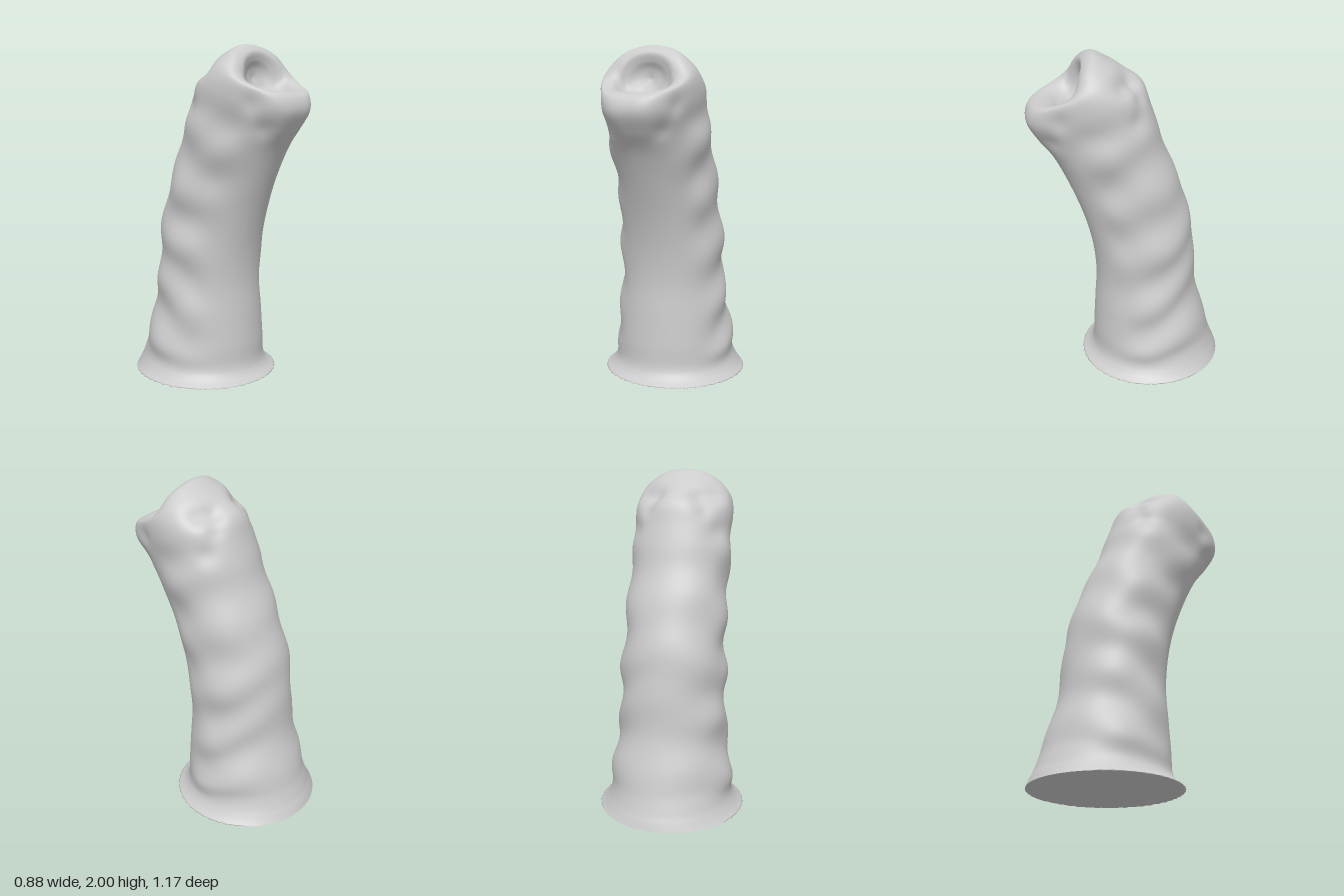
import * as THREE from 'three';

const { smoothstep } = THREE.MathUtils;
const SEG = 96, RINGS = 170;

// Tilted rings: [front z, front y, back z, back y, half width, taper to the front]
const rows = [
  [.30, 0, -.585, 0, .44, 0],
  [.25, .04, -.57, .04, .40, 0],
  [.225, .1, -.545, .1, .372, 0],
  [.22, .22, -.51, .22, .364, 0],
  [.21, .4, -.455, .4, .335, 0],
  [.2, .6, -.415, .62, .318, 0],
  [.22, .8, -.4, .84, .312, 0],
  [.27, 1, -.355, 1.07, .302, .05],
  [.345, 1.2, -.27, 1.3, .293, .1],
  [.44, 1.4, -.185, 1.52, .29, .15],
  [.53, 1.525, -.125, 1.7, .282, .2],
  [.585, 1.625, -.075, 1.83, .285, .22],
  [.575, 1.7, .03, 1.91, .272, .2],
  [.53, 1.735, .12, 1.965, .245, .15],
  [.46, 1.74, .2, 2, .2, .1],
  [.39, 1.72, .265, 1.965, .16, .05],
  [.33, 1.715, .265, 1.915, .125, 0],
  [.275, 1.74, .245, 1.87, .075, 0],
  [.235, 1.81, .235, 1.815, 0, 0],
];
const LAST = rows.length - 1;

// Smooth curves through pairs of columns of the table
const [frontLine, backLine, sizeLine] = [0, 2, 4].map(k =>
  new THREE.SplineCurve(rows.map(r => new THREE.Vector2(r[k], r[k + 1]))));

// Soft hollows, mirrored in x: [x, y, z, radius, depth]
const hollows = [
  [.14, 1.88, -.01, .065, .04],
  [.18, 1.79, -.05, .06, .022],
  [.2, 1.85, .07, .065, .028],
  [.24, 1.66, -.02, .06, .014],
  [.21, 1.68, .42, .06, .02],
  [.17, 1.53, .47, .06, .014],
];
const core = new THREE.Vector3(0, 1.58, .2);

function surfacePoint(t, i) {
  const f = frontLine.getPoint(t), b = backLine.getPoint(t), s = sizeLine.getPoint(t);
  const a = i / SEG * Math.PI * 2, c = Math.cos(a), sn = Math.sin(a);
  const v = (1 - c) / 2, row = t * LAST;

  // Ring outline, squarer at the lip
  const square = 1 - .35 * smoothstep(-c, 0, .7) * smoothstep(row, 8, 11);
  const x = s.x * Math.sign(sn) * Math.abs(sn) ** square * (1 + s.y * c);
  const p = new THREE.Vector3(x, b.y + (f.y - b.y) * v, b.x + (f.x - b.x) * v);

  // The sides of the rim sag between the peak and the lip
  const sag = smoothstep(row, 11.5, 14) * (1 - smoothstep(row, 15, 17)) * sn * sn * smoothstep(-c, -.6, .4);
  p.y -= .04 * sag;
  p.z -= .015 * sag;

  // Slanting skin folds, strongest on the sides and fading out on the front
  const mask = smoothstep(c, -.95, -.35) * (.35 + .65 * sn * sn)
    * smoothstep(p.y, .06, .2) * (1 - smoothstep(p.y, 1.5, 1.72)) * (1 - smoothstep(row, 11, 13));
  const wave = Math.cos((p.y - .2 - .15 * c + .02 * Math.sin(3 * a + p.y * 5)) / .32 * Math.PI * 2);
  const d = mask * (.012 * wave + .004 * Math.sin(p.y * 13 + c * 4 + sn * 2));
  p.x += d * sn;
  p.z -= d * c;

  // Hollows around the head and the lower lip
  const outer = 1 - smoothstep(row, 13, 14.5);
  for (const [hx, hy, hz, r, depth] of hollows) {
    const q = (Math.abs(p.x) - hx) ** 2 + (p.y - hy) ** 2 + (p.z - hz) ** 2;
    p.addScaledVector(core.clone().sub(p).normalize(), outer * depth * Math.exp(-q / (r * r)));
  }

  // Ragged hem at the foot
  if (t === 0) {
    const k = i % 2 && c < .5 ? .97 : 1;
    p.set(p.x * k, 0, -.14 + (p.z + .14) * k);
  }
  return p;
}

function geometry(positions, index) {
  const g = new THREE.BufferGeometry();
  g.setAttribute('position', new THREE.Float32BufferAttribute(positions, 3));
  g.setIndex(index);
  g.computeVertexNormals();
  return g;
}

export function createModel() {
  const group = new THREE.Group();
  const material = new THREE.MeshStandardMaterial({ color: 0xcccccc });

  // Bent trunk, running over the rim and into the opening
  const pos = [], idx = [];
  for (let j = 0; j <= RINGS; j++) {
    for (let i = 0; i < SEG; i++) {
      pos.push(...surfacePoint(j / RINGS, i).toArray());
      if (j === RINGS) continue;
      const n = (i + 1) % SEG, a = j * SEG + i, b = j * SEG + n;
      idx.push(a, a + SEG, b, b, a + SEG, b + SEG);
    }
  }
  const trunk = new THREE.Mesh(geometry(pos, idx), material);
  trunk.name = 'trunk';

  // Flat underside
  const basePos = [0, 0, -.14, ...pos.slice(0, SEG * 3)], baseIdx = [];
  for (let i = 0; i < SEG; i++) baseIdx.push(0, i + 1, (i + 1) % SEG + 1);
  const base = new THREE.Mesh(geometry(basePos, baseIdx), material);
  base.name = 'base';

  group.add(trunk, base);
  return group;
}
